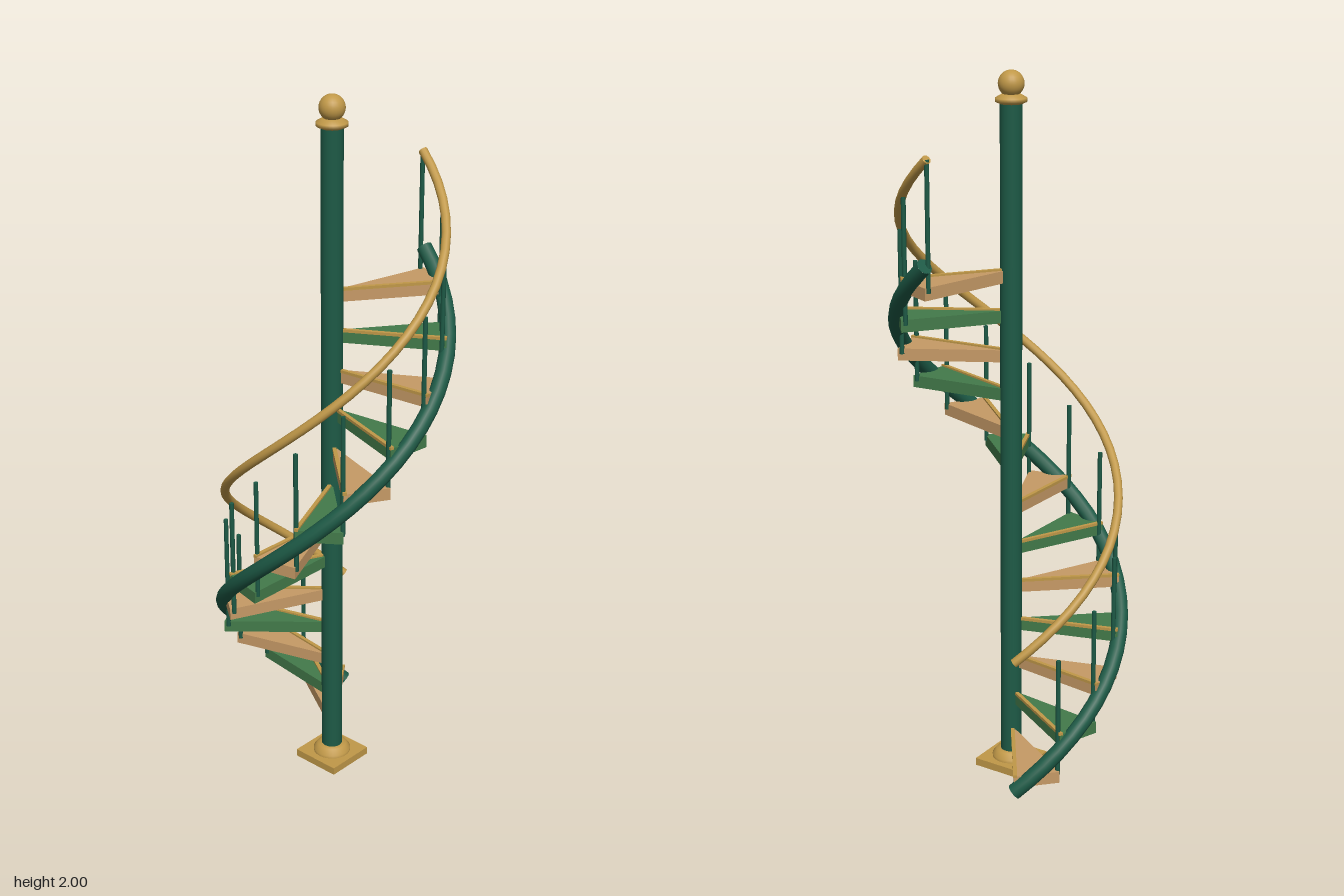
import * as THREE from 'three';

const COUNT = 13;
const START = THREE.MathUtils.degToRad(235);
const STEP = THREE.MathUtils.degToRad(24.08);
const RISE = 0.1128;
const POST = 0.03;
const TREAD_R = 0.31;

// Rising spiral that turns from the back, past the right and front, to the back
class Helix extends THREE.Curve {
  constructor(radius, y0, y1) {
    super();
    Object.assign(this, { radius, y0, y1 });
  }
  getPoint(t, target = new THREE.Vector3()) {
    const a = START - STEP * COUNT * t;
    return target.set(
      this.radius * Math.cos(a),
      THREE.MathUtils.lerp(this.y0, this.y1, t),
      this.radius * Math.sin(a)
    );
  }
}

function flat(name, color) {
  const m = new THREE.MeshStandardMaterial({ color });
  m.name = name;
  return m;
}

export function createModel() {
  const model = new THREE.Group();
  model.name = 'spiralStaircase';
  const darkGreen = flat('dark green paint', 0x1d5a46);
  const leafGreen = flat('tread green', 0x437a4a);
  const wood = flat('light wood', 0xc69a66);
  const brass = flat('brass', 0xc09848);

  const add = (name, geometry, material, parent = model) => {
    const mesh = new THREE.Mesh(geometry, material);
    mesh.name = name;
    parent.add(mesh);
    return mesh;
  };
  const lathe = (points) =>
    new THREE.LatheGeometry(points.map(([r, y]) => new THREE.Vector2(r, y)), 32);

  // Central post with base plate, foot ring, collar and ball
  add('post', new THREE.CylinderGeometry(POST, POST, 1.915, 24), darkGreen).position.y = 0.9625;
  add('basePlate', new THREE.BoxGeometry(0.148, 0.022, 0.148), brass).position.y = 0.011;
  add('footRing', lathe([[0.054, 0.02], [0.054, 0.03], [0.042, 0.046], [0.029, 0.048]]), brass);
  add('collar', lathe([[0.029, 1.912], [0.042, 1.918], [0.042, 1.928], [0.025, 1.938], [0, 1.938]]), brass);
  add('ball', new THREE.SphereGeometry(0.035, 24, 16), brass).position.y = 1.965;

  // Wedge tread, top at y = 0, with its leading edge along +x
  const corner = (r, a) => new THREE.Vector2(r * Math.cos(a), r * Math.sin(a));
  const wedge = new THREE.Shape([
    corner(POST - 0.004, 0),
    corner(TREAD_R, 0),
    corner(TREAD_R, -STEP),
    corner(POST - 0.004, -STEP),
  ]);
  const treadGeometry = new THREE.ExtrudeGeometry(wedge, { depth: 0.034, bevelEnabled: false });
  treadGeometry.rotateX(Math.PI / 2);
  const nosingGeometry = new THREE.BoxGeometry(TREAD_R - POST, 0.008, 0.011);
  nosingGeometry.translate((TREAD_R + POST) / 2, 0.001, -0.0035);
  const balusterGeometry = new THREE.CylinderGeometry(0.0065, 0.0065, 0.345, 8);

  // Steps: tread, nosing along the leading edge, baluster at the trailing edge
  for (let i = 0; i < COUNT; i++) {
    const step = new THREE.Group();
    step.name = `step${i + 1}`;
    step.rotation.y = -(START - STEP * i);
    step.position.y = 0.118 + RISE * i;
    model.add(step);
    add('tread', treadGeometry, i % 2 ? leafGreen : wood, step);
    add('nosing', nosingGeometry, brass, step);
    const p = corner(0.298, -STEP);
    add('baluster', balusterGeometry, darkGreen, step).position.set(p.x, 0.158, p.y);
  }

  // Spiral tubes closed by flat discs
  const spiral = (name, curve, radius, material, sides) => {
    add(name, new THREE.TubeGeometry(curve, 40, radius, sides, false), material);
    for (const t of [0, 1]) {
      const end = curve.getPoint(t);
      const out = curve.getTangent(t).multiplyScalar(t ? 1 : -1);
      const cap = add(`${name}End`, new THREE.CircleGeometry(radius, sides), material);
      cap.position.copy(end);
      cap.lookAt(end.clone().add(out));
    }
  };
  spiral('stringer', new Helix(0.31, 0.072, 1.53), 0.022, darkGreen, 12);
  spiral('handrail', new Helix(0.298, 0.455, 1.803), 0.0125, brass, 12);

  // Shift so the whole staircase is centred in depth
  for (const part of model.children) part.position.z -= 0.005;
  return model;
}
